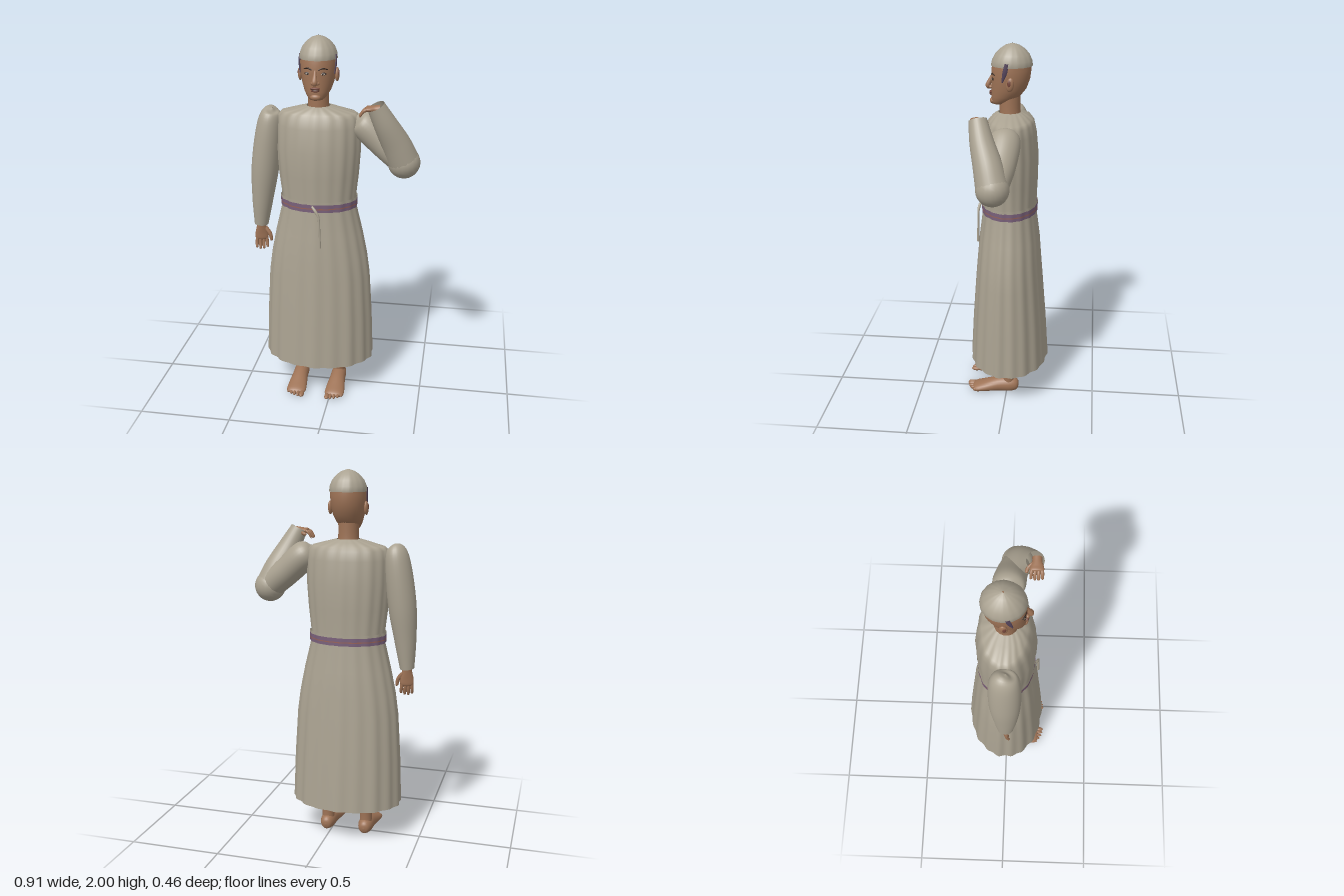
import * as THREE from 'three';

const mat = (name, color, side = THREE.FrontSide) => {
  const m = new THREE.MeshStandardMaterial({ color, side });
  m.name = name;
  return m;
};

// Skin a list of closed rings (arrays of Vector3) into one smooth surface
function loft(rings) {
  const n = rings[0].length, idx = [];
  for (let i = 0; i < rings.length - 1; i++)
    for (let j = 0; j < n; j++) {
      const a = i * n + j, b = i * n + (j + 1) % n, c = a + n, d = b + n;
      idx.push(a, b, d, a, d, c);
    }
  const g = new THREE.BufferGeometry().setFromPoints(rings.flat());
  g.setIndex(idx);
  g.computeVertexNormals();
  return g;
}

// Level rings, bottom to top: [y, halfWidth, zFront, zBack, foldDepth]
function stack(rows, n = 32, folds = 0, grow = 0) {
  return loft(rows.map(([y, rx, zf, zb, amp = 0]) =>
    Array.from({ length: n }, (_, j) => {
      const a = j / n * Math.PI * 2;
      const w = 1 + amp * (Math.cos(folds * a) + 0.5 * Math.sin((folds / 2 + 1) * a + 1));
      return new THREE.Vector3(Math.sin(a) * (rx + grow) * w, y,
        (zf + zb) / 2 + Math.cos(a) * ((zf - zb) / 2 + grow) * w);
    })));
}

// Smooth limb through points [x, y, z, radiusAcross, radiusAlongRef]
function limb(pts, ref = [0, 0, 1], n = 24, steps = 24) {
  const path = new THREE.CatmullRomCurve3(pts.map(p => new THREE.Vector3(p[0], p[1], p[2])));
  const size = new THREE.CatmullRomCurve3(
    pts.map((p, i) => new THREE.Vector3(p[3], p[4] ?? p[3], i)), false, 'catmullrom', 0.5);
  path.curveType = 'catmullrom';
  const v0 = new THREE.Vector3(...ref), rings = [];
  for (let i = 0; i <= steps; i++) {
    const p = path.getPoint(i / steps), s = size.getPoint(i / steps), t = path.getTangent(i / steps);
    const u = t.clone().cross(v0).normalize(), v = u.clone().cross(t);
    rings.push(Array.from({ length: n }, (_, j) => {
      const a = j / n * Math.PI * 2;
      return p.clone().addScaledVector(u, Math.sin(a) * Math.max(0, s.x))
        .addScaledVector(v, Math.cos(a) * Math.max(0, s.y));
    }));
  }
  return loft(rings);
}

export function createModel() {
  const root = new THREE.Group(), body = new THREE.Group();
  root.name = 'robedFigure';
  body.name = 'body';
  body.position.x = -0.085;
  root.add(body);

  const cloth = mat('cloth', 0xaaa291, THREE.DoubleSide);
  const skin = mat('skin', 0x9e7356);
  const purple = mat('sashPurple', 0x79607a, THREE.DoubleSide);
  const red = mat('sashRed', 0x95625a, THREE.DoubleSide);
  const hair = mat('hair', 0x55455c);
  const dark = mat('dark', 0x35271f);
  const lip = mat('lips', 0x74463a);
  const white = mat('eyeWhite', 0xb5a698);

  const add = (parent, name, geo, m) => {
    const mesh = new THREE.Mesh(geo, m);
    mesh.name = name;
    parent.add(mesh);
    return mesh;
  };
  const blob = (parent, name, m, p, s) => {
    const mesh = add(parent, name, new THREE.SphereGeometry(1, 20, 14), m);
    mesh.position.set(...p);
    mesh.scale.set(...s);
    return mesh;
  };

  // Pleated robe, open at the hem
  add(body, 'robe', stack([
    [0.195, 0.302, 0.212, -0.226, 0.016], [0.45, 0.293, 0.198, -0.21, 0.015],
    [0.7, 0.278, 0.18, -0.19, 0.014], [0.82, 0.262, 0.17, -0.18, 0.013],
    [0.95, 0.236, 0.158, -0.17, 0.012], [1.09, 0.203, 0.14, -0.152, 0.01],
    [1.16, 0.2, 0.138, -0.15, 0.01], [1.28, 0.213, 0.146, -0.155, 0.012],
    [1.42, 0.223, 0.146, -0.157, 0.012], [1.54, 0.222, 0.128, -0.146, 0.012],
    [1.59, 0.216, 0.112, -0.135, 0.014], [1.61, 0.195, 0.098, -0.122, 0.018],
    [1.63, 0.12, 0.078, -0.092, 0.022], [1.645, 0.062, 0.054, -0.064, 0.01]
  ], 112, 18), cloth);

  // Sash bands: [bottom, top, material]
  [[1.142, 1.157, cloth], [1.122, 1.142, purple], [1.116, 1.122, red], [1.1, 1.116, purple]]
    .forEach(([a, b, m], i) => {
      const row = y => [y, 0.2, 0.138, -0.15, 0.01];
      add(body, 'sashBand' + i, stack([row(a), row((a + b) / 2), row(b)], 112, 18, 0.007), m);
    });
  // Hanging cord
  add(body, 'sashCord', limb([[-0.012, 1.135, 0.147, 0.006], [0.008, 1.115, 0.16, 0.008],
    [0.026, 1.08, 0.165, 0.006], [0.03, 1.0, 0.166, 0.006], [0.032, 0.91, 0.168, 0.007]],
  [0, 0, 1], 10), cloth);

  // Legs and feet
  for (const s of [-1, 1]) {
    const leg = new THREE.Group();
    leg.name = s < 0 ? 'rightLeg' : 'leftLeg';
    leg.position.x = s * 0.11;
    body.add(leg);
    add(leg, 'shin', limb([[0, 0.04, -0.012, 0.034], [0, 0.1, -0.01, 0.034], [0, 0.2, -0.01, 0.042],
      [0, 0.42, -0.015, 0.058], [0, 0.6, -0.01, 0.055], [0, 0.9, 0, 0.075]].reverse()), skin);
    const foot = limb([[0, 0.035, -0.07, 0, 0], [0, 0.036, -0.06, 0.027, 0.03],
      [0, 0.04, -0.02, 0.041, 0.045], [0, 0.036, 0.05, 0.044, 0.042],
      [0, 0.022, 0.13, 0.053, 0.03], [0, 0.014, 0.185, 0.05, 0.018], [0, 0.012, 0.205, 0, 0]], [0, 1, 0]);
    const p = foot.attributes.position;
    for (let i = 0; i < p.count; i++) p.setY(i, Math.max(0.002, p.getY(i)));
    foot.computeVertexNormals();
    add(leg, 'foot', foot, skin);
    for (let k = 0; k < 5; k++)
      blob(leg, 'toe', skin, [-s * (0.037 - k * 0.02), 0.013, 0.204 - k * k * 0.0022],
        [k ? 0.009 : 0.014, 0.012, 0.028]);
  }

  // Neck and head
  add(body, 'neck', limb([[0, 1.58, -0.01, 0.06, 0.056], [0, 1.66, -0.006, 0.054, 0.054],
    [0, 1.77, -0.008, 0.054, 0.054]]), skin);
  const skull = [[1.685, 0, 0.06, 0.058], [1.688, 0.034, 0.084, 0.025], [1.702, 0.05, 0.091, -0.012],
    [1.73, 0.068, 0.091, -0.06], [1.77, 0.082, 0.09, -0.092], [1.82, 0.091, 0.09, -0.11],
    [1.87, 0.094, 0.09, -0.117], [1.92, 0.088, 0.075, -0.11]];
  add(body, 'head', stack(skull, 40), skin);
  add(body, 'cap', stack([[1.888, 0.092, 0.086, -0.118], [1.888, 0.098, 0.092, -0.124, 0.006],
    [1.915, 0.095, 0.086, -0.12, 0.007], [1.945, 0.083, 0.07, -0.107, 0.008],
    [1.972, 0.06, 0.045, -0.082, 0.009], [1.99, 0.035, 0.018, -0.055, 0.01],
    [2.0, 0.004, -0.014, -0.022]], 60, 16), cloth);

  // Face
  add(body, 'noseBridge', limb([[0, 1.84, 0.084, 0.006], [0, 1.815, 0.094, 0.01],
    [0, 1.785, 0.108, 0.015, 0.013], [0, 1.772, 0.105, 0.012, 0.01], [0, 1.766, 0.094, 0, 0]],
  [0, 0, 1], 16), skin);
  blob(body, 'upperLip', lip, [0, 1.749, 0.09], [0.026, 0.006, 0.011]);
  blob(body, 'lowerLip', lip, [0, 1.738, 0.09], [0.022, 0.007, 0.011]);
  blob(body, 'mouthLine', dark, [0, 1.744, 0.092], [0.024, 0.002, 0.01]);
  blob(body, 'chin', skin, [0, 1.703, 0.083], [0.028, 0.017, 0.016]);
  for (const s of [-1, 1]) {
    blob(body, 'nostril', skin, [s * 0.014, 1.776, 0.092], [0.01, 0.009, 0.011]);
    blob(body, 'eyelid', dark, [s * 0.039, 1.823, 0.078], [0.017, 0.008, 0.006]);
    blob(body, 'eye', white, [s * 0.039, 1.8215, 0.0805], [0.013, 0.005, 0.005]);
    blob(body, 'iris', dark, [s * 0.038, 1.822, 0.083], [0.005, 0.005, 0.004]);
    add(body, 'eyebrow', limb([[s * 0.016, 1.842, 0.087, 0.003], [s * 0.038, 1.85, 0.081, 0.004],
      [s * 0.062, 1.843, 0.065, 0.002]], [0, 1, 0], 8, 10), dark);
    blob(body, 'ear', skin, [s * 0.096, 1.805, -0.015], [0.012, 0.036, 0.02]).rotation.x = -0.12;
    blob(body, 'earHollow', lip, [s * 0.103, 1.81, -0.012], [0.006, 0.02, 0.011]);
    add(body, 'sideLock', limb([[s * 0.094, 1.91, 0.002, 0.004, 0.01], [s * 0.094, 1.865, 0.012, 0.004, 0.012],
      [s * 0.089, 1.815, 0.026, 0.003, 0.004]], [0, 0, 1], 10), hair);
  }

  // Sleeves
  add(root, 'rightSleeve', limb([[-0.33, 1.62, 0, 0.004], [-0.338, 1.597, -0.005, 0.05, 0.06],
    [-0.352, 1.5, -0.005, 0.07, 0.08], [-0.378, 1.3, -0.003, 0.074, 0.08],
    [-0.397, 1.12, 0, 0.058, 0.063], [-0.41, 0.965, 0, 0.038, 0.043]], [0, 0, 1], 28, 30), cloth);
  add(root, 'leftUpperSleeve', limb([[0.11, 1.59, 0, 0.02], [0.15, 1.56, -0.002, 0.074, 0.08],
    [0.26, 1.46, 0.01, 0.077, 0.08], [0.37, 1.37, 0.035, 0.072]], [0, 0, 1], 28), cloth);
  blob(root, 'leftElbow', cloth, [0.37, 1.37, 0.037], [0.085, 0.085, 0.085]);
  add(root, 'leftForearmSleeve', limb([[0.37, 1.37, 0.037, 0.083], [0.33, 1.47, 0.062, 0.075],
    [0.277, 1.58, 0.098, 0.061], [0.228, 1.68, 0.123, 0.046]], [0, 0, 1], 28), cloth);

  // Hands point down -y in their own frame; curl bends the fingers towards +z
  function hand(name, curl, thumbSide) {
    const g = new THREE.Group();
    g.name = name;
    root.add(g);
    add(g, 'palm', limb([[0, 0.04, 0, 0.026, 0.024], [0, 0, 0, 0.026, 0.02],
      [0, -0.045, 0, 0.035, 0.016], [0, -0.08, 0, 0.033, 0.013], [0, -0.09, 0, 0, 0]]), skin);
    for (let k = 0; k < 4; k++) {
      const x = (k - 1.5) * 0.017 * thumbSide, l = 0.075 - Math.abs(k - 2 + 0.6) * 0.009;
      add(g, 'finger', limb([[x, -0.07, 0, 0.009], [x * 1.1, -0.07 - l * 0.5, curl * 0.3, 0.009],
        [x * 1.15, -0.07 - l * 0.92, curl, 0.007], [x * 1.15, -0.07 - l, curl * 1.1, 0]],
      [1, 0, 0], 10, 12), skin);
    }
    add(g, 'thumb', limb([[thumbSide * 0.02, -0.015, 0, 0.012], [thumbSide * 0.045, -0.05, 0.012, 0.011],
      [thumbSide * 0.052, -0.085, 0.016, 0.008], [thumbSide * 0.052, -0.093, 0.016, 0]],
    [0, 0, 1], 10, 12), skin);
    return g;
  }
  const right = hand('rightHand', 0.012, 1);
  right.position.set(-0.41, 0.955, 0);
  right.rotation.y = 0.25;
  const left = hand('leftHand', 0.035, 1);
  left.position.set(0.228, 1.668, 0.132);
  left.rotation.set(0, Math.PI / 2, -Math.PI / 2, 'ZYX');
  left.scale.set(0.95, 0.58, 0.95);

  return root;
}
